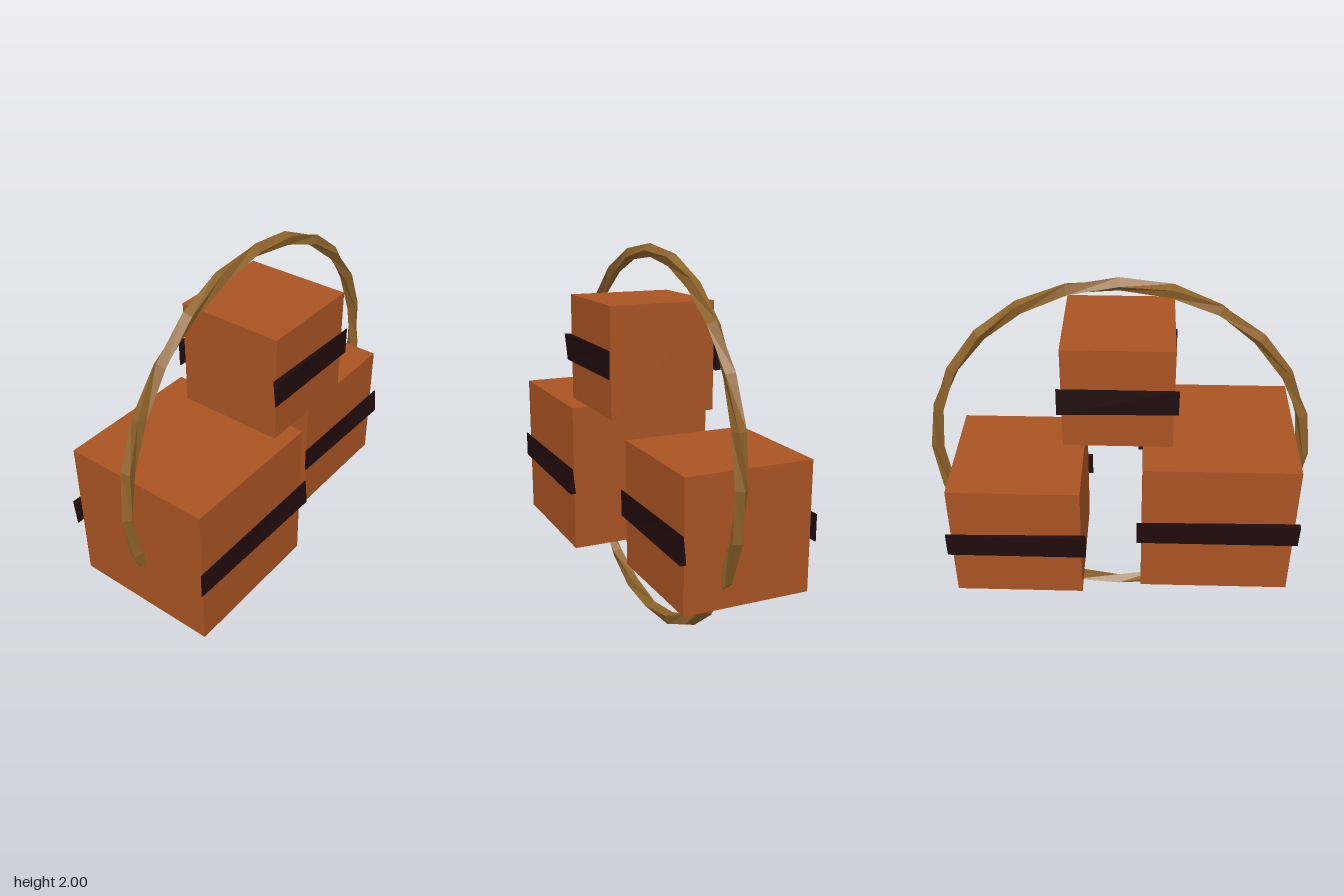
import * as THREE from 'three';

const brown = new THREE.MeshStandardMaterial({ color: 0xa85322, name: 'sienna' });
const rope = new THREE.MeshStandardMaterial({ color: 0x8e632a, name: 'tan', flatShading: true });
const dark = new THREE.MeshStandardMaterial({ color: 0x200c0d, name: 'darkBrown', flatShading: true });

function addMesh(parent, name, geometry, material, x, y, z) {
  const mesh = new THREE.Mesh(geometry, material);
  mesh.name = name;
  mesh.position.set(x, y, z);
  parent.add(mesh);
  return mesh;
}

// Thin strap that swells to full thickness at one corner (sx, sy)
function strapGeometry(width, height, sx, sy) {
  const g = new THREE.BoxGeometry(width, height, 0.03);
  const p = g.attributes.position;
  for (let i = 0; i < p.count; i++) {
    const thick = p.getX(i) * sx > 0 && p.getY(i) * sy > 0;
    if (!thick) p.setZ(i, p.getZ(i) * 0.12);
  }
  g.computeVertexNormals();
  return g;
}

// Four-sided ring whose cross-section twists twice around the loop
function twistedRing(radius, tube, segments, turns) {
  const sides = 4;
  const g = new THREE.TorusGeometry(radius, tube, sides, segments);
  const p = g.attributes.position;
  for (let j = 0, n = 0; j <= sides; j++) {
    for (let i = 0; i <= segments; i++, n++) {
      const u = (i / segments) * Math.PI * 2;
      const v = (j / sides) * Math.PI * 2 + u * turns;
      const r = radius + tube * Math.cos(v);
      p.setXYZ(n, r * Math.cos(u), r * Math.sin(u), tube * Math.sin(v));
    }
  }
  g.computeVertexNormals();
  return g;
}

export function createModel() {
  const model = new THREE.Group();
  model.name = 'crateRing';

  addMesh(model, 'ring', twistedRing(0.966, 0.034, 24, 2), rope, 0, 1.003, 0.03);

  // Cube centre and size, strap height, and the front strap's thick corner
  const crates = [
    { name: 'largeCrate', x: -0.515, y: 0.78, z: 0.027, s: 0.776, band: 0.777, bh: 0.135, sx: 1, sy: -1 },
    { name: 'mediumCrate', x: 0.512, y: 0.722, z: -0.087, s: 0.664, band: 0.721, bh: 0.137, sx: 1, sy: -1 },
    { name: 'smallCrate', x: 0, y: 1.463, z: 0.084, s: 0.548, band: 1.462, bh: 0.137, sx: -1, sy: 1 },
  ];
  for (const c of crates) {
    const crate = new THREE.Group();
    crate.name = c.name;
    model.add(crate);
    addMesh(crate, 'box', new THREE.BoxGeometry(c.s, c.s, c.s), brown, c.x, c.y, c.z);
    // The back strap is the front one turned half round about z
    for (const side of [1, -1]) {
      const g = strapGeometry(c.s + (c.s > 0.6 ? 0.05 : 0.045), c.bh, c.sx * side, c.sy * side);
      addMesh(crate, side > 0 ? 'frontStrap' : 'backStrap', g, dark, c.x, c.band, c.z + side * (c.s / 2 + 0.016));
    }
  }
  return model;
}
